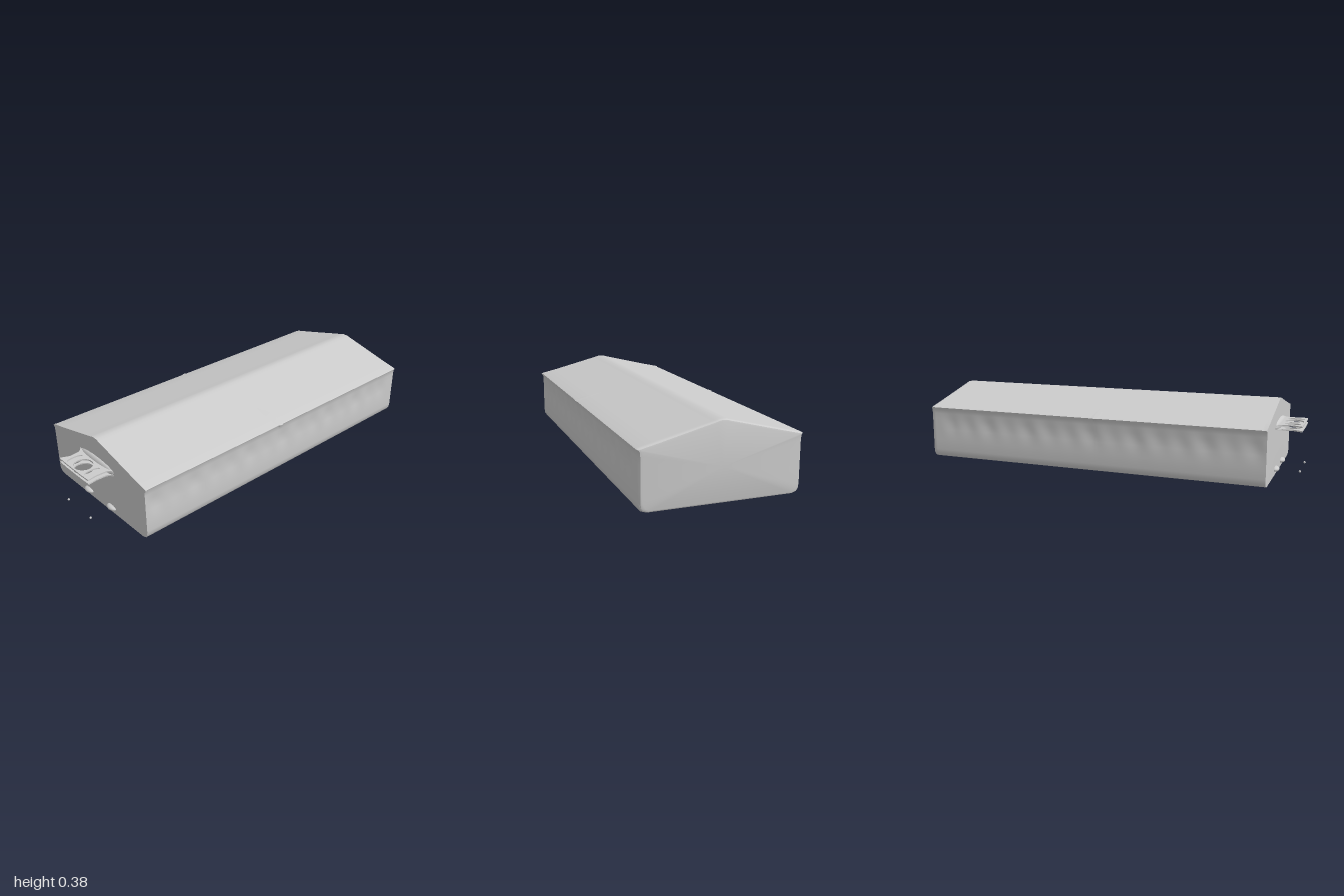
import * as THREE from 'three';
import { toCreasedNormals } from 'three/addons/utils/BufferGeometryUtils.js';

const material = new THREE.MeshStandardMaterial({ color: 0xcccccc, side: THREE.DoubleSide });

// Half of the hall's cross-section [z, y], from the floor up to the ridge
const halfProfile = [
  [0.355, 0], [0.378, 0.008], [0.387, 0.022], [0.39, 0.045], [0.39, 0.1], [0.39, 0.13],
  [0.39, 0.16], [0.39, 0.19], [0.39, 0.22], [0.39, 0.25], [0.392, 0.27], [0.397, 0.283],
  [0.388, 0.287], [0.3, 0.308], [0.2, 0.333], [0.1, 0.358], [0.035, 0.374], [0.015, 0.38],
];
const profile = [...halfProfile, ...halfProfile.slice().reverse().map(([z, y]) => [-z, y])];

// Shallow worn window bays along the walls, with small nubs on the eaves
function wallOffset(x, y) {
  const band = Math.max(0, 1 - Math.abs(y - 0.19) / 0.07);
  const bays = 0.5 + 0.3 * Math.sin(x * 52) + 0.2 * Math.sin(x * 31 + 1);
  const fade = Math.min(1, (0.97 - Math.min(Math.abs(x), 0.97)) * 8);
  const nub = Math.abs(y - 0.283) < 0.006 && (Math.abs(x) < 0.008 || x < -0.868) ? 0.006 : 0;
  return nub - 0.008 * band * bays * fade;
}

function hallGeometry() {
  // Each station is [x, side inset, height inset]; the left end is rounded
  const stations = [];
  for (let i = 0; i <= 160; i++) stations.push([-0.87 + (1.845 * i) / 160, 0, 0]);
  stations.push([0.983, 0.003, 0.001], [0.989, 0.009, 0.004], [0.991, 0.02, 0.01]);

  const n = profile.length;
  const positions = [];
  const index = [];
  for (const [x, inset, drop] of stations) {
    for (const [z, y] of profile) {
      const offset = Math.abs(z) > 0.38 ? wallOffset(x, y) : 0;
      const width = Math.abs(z) + offset - inset * Math.min(1, Math.abs(z) / 0.35);
      const height = y > 0.28 ? y - drop : y < 0.03 ? y + drop : y;
      positions.push(x, height, Math.sign(z) * width);
    }
  }
  for (let s = 0; s < stations.length - 1; s++) {
    for (let i = 0; i < n; i++) {
      const a = s * n + i, c = s * n + ((i + 1) % n);
      index.push(a, a + n, c, a + n, c + n, c);
    }
  }
  // Gable walls
  const last = (stations.length - 1) * n;
  const center = positions.length / 3;
  positions.push(-0.872, 0.17, 0, 0.993, 0.17, 0);
  for (let i = 0; i < n; i++) {
    const j = (i + 1) % n;
    index.push(center, i, j, center + 1, last + j, last + i);
  }
  const geometry = new THREE.BufferGeometry();
  geometry.setAttribute('position', new THREE.Float32BufferAttribute(positions, 3));
  geometry.setIndex(index);
  return toCreasedNormals(geometry, 0.6);
}

function ellipseHole(x, z, rx, rz) {
  const hole = new THREE.Path();
  hole.absellipse(x, z, rx, rz, 0, Math.PI * 2, true);
  return hole;
}

// Thin canopy sheet with openings, flaring where it meets the wall
function canopyGeometry() {
  const shape = new THREE.Shape();
  shape.moveTo(-0.865, -0.16);
  shape.quadraticCurveTo(-0.878, -0.125, -0.9, -0.115);
  shape.lineTo(-0.95, -0.108);
  shape.lineTo(-0.998, -0.13);
  shape.lineTo(-1, -0.065);
  shape.lineTo(-1, 0.065);
  shape.lineTo(-0.998, 0.125);
  shape.lineTo(-0.95, 0.118);
  shape.lineTo(-0.9, 0.12);
  shape.quadraticCurveTo(-0.878, 0.125, -0.865, 0.16);
  shape.closePath();
  shape.holes.push(ellipseHole(-0.945, 0, 0.047, 0.05));
  for (const side of [-1, 1]) shape.holes.push(ellipseHole(-0.945, side * 0.076, 0.042, 0.014));
  const geometry = new THREE.ExtrudeGeometry(shape, { depth: 0.007, bevelEnabled: false, curveSegments: 16 });
  geometry.rotateX(Math.PI / 2);
  return geometry;
}

export function createModel() {
  const model = new THREE.Group();
  const add = (name, geometry, x = 0, y = 0, z = 0) => {
    const mesh = new THREE.Mesh(geometry, material);
    mesh.name = name;
    mesh.position.set(x, y, z);
    model.add(mesh);
    return mesh;
  };

  add('hall', hallGeometry());

  // Entrance canopy made of an upper and a lower sheet
  const sheet = canopyGeometry();
  add('canopyTop', sheet, 0, 0.262, 0);
  add('canopyUnderside', sheet, 0, 0.24, 0);

  // Soft swelling where the canopy joins the wall
  add('canopyJoint', new THREE.SphereGeometry(1, 24, 12), -0.868, 0.25, 0).scale.set(0.022, 0.03, 0.15);

  // Remains of the canopy posts and the bumps at the foot of the wall
  for (const side of [-1, 1]) {
    add('postFoot', new THREE.SphereGeometry(0.006, 10, 8), -0.994, 0.027, side * 0.1);
    add('wallBump', new THREE.SphereGeometry(1, 16, 10), -0.87, 0.03, side * 0.1).scale.set(0.022, 0.014, 0.035);
  }
  return model;
}
